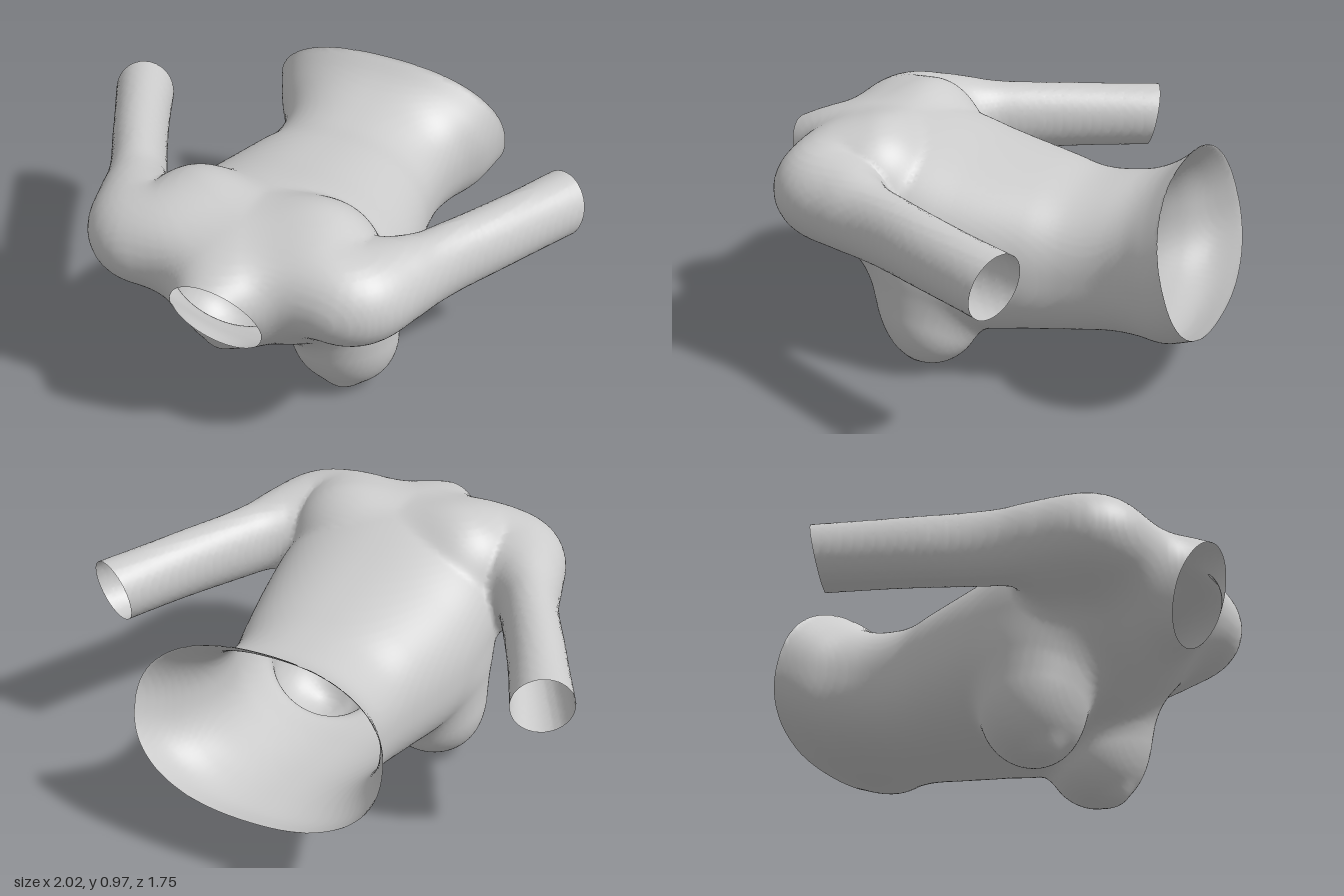
import * as THREE from 'three';

// Torso sections, waist to neck: z, half width, top y, bottom y, forward lean, squareness
const TORSO = [
  [-0.8, 0.505, 0.88, 0.26, 0.27, 2.3],
  [-0.7, 0.46, 0.82, 0.215, 0.2, 2.3],
  [-0.6, 0.4, 0.785, 0.21, 0.13, 2.3],
  [-0.5, 0.365, 0.77, 0.2, 0.08, 2.3],
  [-0.35, 0.365, 0.765, 0.175, 0.03, 2.3],
  [-0.2, 0.4, 0.795, 0.155, 0, 2.3],
  [0.05, 0.455, 0.85, 0.13, 0, 2.3],
  [0.25, 0.468, 0.91, 0.19, 0.05, 2.3],
  [0.38, 0.45, 0.94, 0.25, 0.12, 2.3],
  [0.5, 0.41, 0.935, 0.3, 0.2, 2.2],
  [0.62, 0.34, 0.905, 0.365, 0.3, 2.1],
  [0.72, 0.24, 0.87, 0.425, 0.38, 2],
  [0.79, 0.175, 0.84, 0.46, 0.42, 2],
];
const sections = new THREE.CubicInterpolant(
  TORSO.map((r) => r[0]), TORSO.flatMap((r) => r.slice(1)), 5, new Float32Array(5));

// Sleeve sections, from inside the shoulder to past the cuff: x, y, z, half width, half height
const SLEEVE = [
  [0.25, 0.755, 0.42, 0.2, 0.2],
  [0.32, 0.75, 0.545, 0.2, 0.185],
  [0.43, 0.735, 0.55, 0.195, 0.18],
  [0.52, 0.725, 0.42, 0.155, 0.165],
  [0.59, 0.715, 0.3, 0.12, 0.148],
  [0.65, 0.71, 0.18, 0.11, 0.142],
  [0.745, 0.705, 0, 0.11, 0.136],
  [0.82, 0.7, -0.15, 0.112, 0.132],
  [0.9, 0.695, -0.315, 0.118, 0.13],
  [0.98, 0.69, -0.48, 0.118, 0.13],
];
const curve = (a, b, c) => new THREE.CatmullRomCurve3(
  SLEEVE.map((r) => new THREE.Vector3(r[a], r[b], r[c])), false, 'catmullrom', 0.5);
const sleevePath = curve(0, 1, 2).getPoints(60);
const sleeveSize = curve(3, 4, 4).getPoints(60);

// Bust swellings: centre, radii, blend width
const BUST = [
  { c: [0.242, 0.2, 0.2], r: [0.207, 0.195, 0.185], k: 0.06 },
  { c: [0.25, 0.34, 0.235], r: [0.19, 0.2, 0.19], k: 0.1 },
  { c: [0.265, 0.06, 0.26], r: [0.045, 0.045, 0.045], k: 0.06 },
];

// Smooth union of two distances
function blend(a, b, k) {
  const h = Math.max(k - Math.abs(a - b), 0) / k;
  return Math.min(a, b) - h * h * k * 0.25;
}

function torsoDistance(x, y, z) {
  // Find the leaning section that passes through the point
  let s = z;
  for (let i = 0; i < 5; i++) {
    const [, top, bottom, lean] = sections.evaluate(s);
    s = z - lean * (y - (top + bottom) / 2);
  }
  const [width, top, bottom, , n] = sections.evaluate(s);
  const half = (top - bottom) / 2, dy = Math.abs(y - (top + bottom) / 2);
  const q = Math.pow(Math.pow(x / width, n) + Math.pow(dy / half, n), 1 / n);
  return (q - 1) * Math.min(width, half);
}

function sleeveDistance(x, y, z) {
  let best = Infinity;
  sleevePath.forEach((p, i) => {
    const w = sleeveSize[i].x, h = sleeveSize[i].y;
    const dx = (x - p.x) / w, dy = (y - p.y) / h, dz = (z - p.z) / w;
    best = Math.min(best, (Math.sqrt(dx * dx + dy * dy + dz * dz) - 1) * w);
  });
  return best;
}

// Whole mirrored shape: negative inside
function field(px, y, z) {
  const x = Math.abs(px);
  let d = torsoDistance(x, y, z);
  for (const { c, r, k } of BUST) {
    const q = Math.hypot((x - c[0]) / r[0], (y - c[1]) / r[1], (z - c[2]) / r[2]);
    d = blend(d, (q - 1) * Math.min(...r), k);
  }
  // Soft across the shoulder, tight at the armpit
  const k = 0.015 + 0.125 * THREE.MathUtils.smoothstep(z, 0.18, 0.42);
  return blend(d, sleeveDistance(x, y, z), k);
}

// Pull a point onto the skin along the slope of the field
function settle(p) {
  const e = 0.002;
  for (let i = 0; i < 2; i++) {
    const f = field(...p);
    const g = [0, 1, 2].map((a) => {
      const q = [...p];
      q[a] += e;
      return (field(...q) - f) / e;
    });
    const step = f / Math.max(g[0] ** 2 + g[1] ** 2 + g[2] ** 2, 0.2);
    for (let a = 0; a < 3; a++) p[a] -= THREE.MathUtils.clamp(step * g[a], -0.01, 0.01);
  }
}

// Trim a point back to the neck, waist or cuff edge; true if it lay beyond
function trim(p) {
  const [x, y, z] = p;
  const neck = 0.79 + 0.42 * (y - 0.65), waist = -0.795 + 0.27 * (y - 0.57);
  if (z > neck) { p[2] = neck; return true; }
  if (Math.abs(x) > 0.65) {
    const over = (Math.abs(x) - 0.9) * 0.426 - (z + 0.315) * 0.905 - 0.2 * (y - 0.695);
    if (over > 0) {
      p[0] -= Math.sign(x) * 0.426 * over;
      p[2] += 0.905 * over;
      return true;
    }
  } else if (z < waist) { p[2] = waist; return true; }
  return false;
}

// Skin the field: one vertex per crossed cell, one quad per crossed grid edge
function skin() {
  const step = 0.018, size = [123, 64, 111], origin = [-1.098, -0.07, -0.99];
  const stride = [1, size[0], size[0] * size[1]];
  const count = stride[2] * size[2];
  const values = new Float32Array(count), cells = new Int32Array(count).fill(-1);
  const coords = (n) => [n % size[0], Math.floor(n / stride[1]) % size[1], Math.floor(n / stride[2])];
  for (let n = 0; n < count; n++) values[n] = field(...coords(n).map((c, a) => origin[a] + c * step));

  const positions = [], beyond = [], index = [];
  for (let n = 0; n < count; n++) {
    const c = coords(n);
    if (c.some((v, a) => v >= size[a] - 1)) continue;
    const sum = [0, 0, 0];
    let hits = 0;
    for (let a = 0; a < 3; a++) {
      const u = (a + 1) % 3, v = (a + 2) % 3;
      for (let m = 0; m < 4; m++) {
        const du = m & 1, dv = m >> 1, from = n + du * stride[u] + dv * stride[v];
        const f0 = values[from], f1 = values[from + stride[a]];
        if (f0 < 0 === f1 < 0) continue;
        sum[a] += f0 / (f0 - f1);
        sum[u] += du;
        sum[v] += dv;
        hits++;
      }
    }
    if (!hits) continue;
    const p = c.map((v, a) => origin[a] + (v + sum[a] / hits) * step);
    settle(p);
    cells[n] = beyond.length;
    beyond.push(trim(p));
    positions.push(...p);
  }

  for (let n = 0; n < count; n++) {
    const c = coords(n);
    for (let a = 0; a < 3; a++) {
      const u = (a + 1) % 3, v = (a + 2) % 3;
      if (c[a] >= size[a] - 1 || c[u] < 1 || c[v] < 1) continue;
      const inside = values[n] < 0;
      if (inside === values[n + stride[a]] < 0) continue;
      const q = [n - stride[u] - stride[v], n - stride[v], n, n - stride[u]].map((k) => cells[k]);
      if (q.some((k) => k < 0) || q.every((k) => beyond[k])) continue;
      if (!inside) q.reverse();
      index.push(q[0], q[1], q[2], q[0], q[2], q[3]);
    }
  }

  const geometry = new THREE.BufferGeometry();
  geometry.setAttribute('position', new THREE.Float32BufferAttribute(positions, 3));
  geometry.setIndex(index);
  geometry.computeVertexNormals();
  return geometry;
}

export function createModel() {
  const group = new THREE.Group();
  group.name = 'top';
  const material = new THREE.MeshStandardMaterial({ color: 0xcccccc, side: THREE.DoubleSide });
  const shirt = new THREE.Mesh(skin(), material);
  shirt.name = 'shirt';
  group.add(shirt);
  return group;
}
